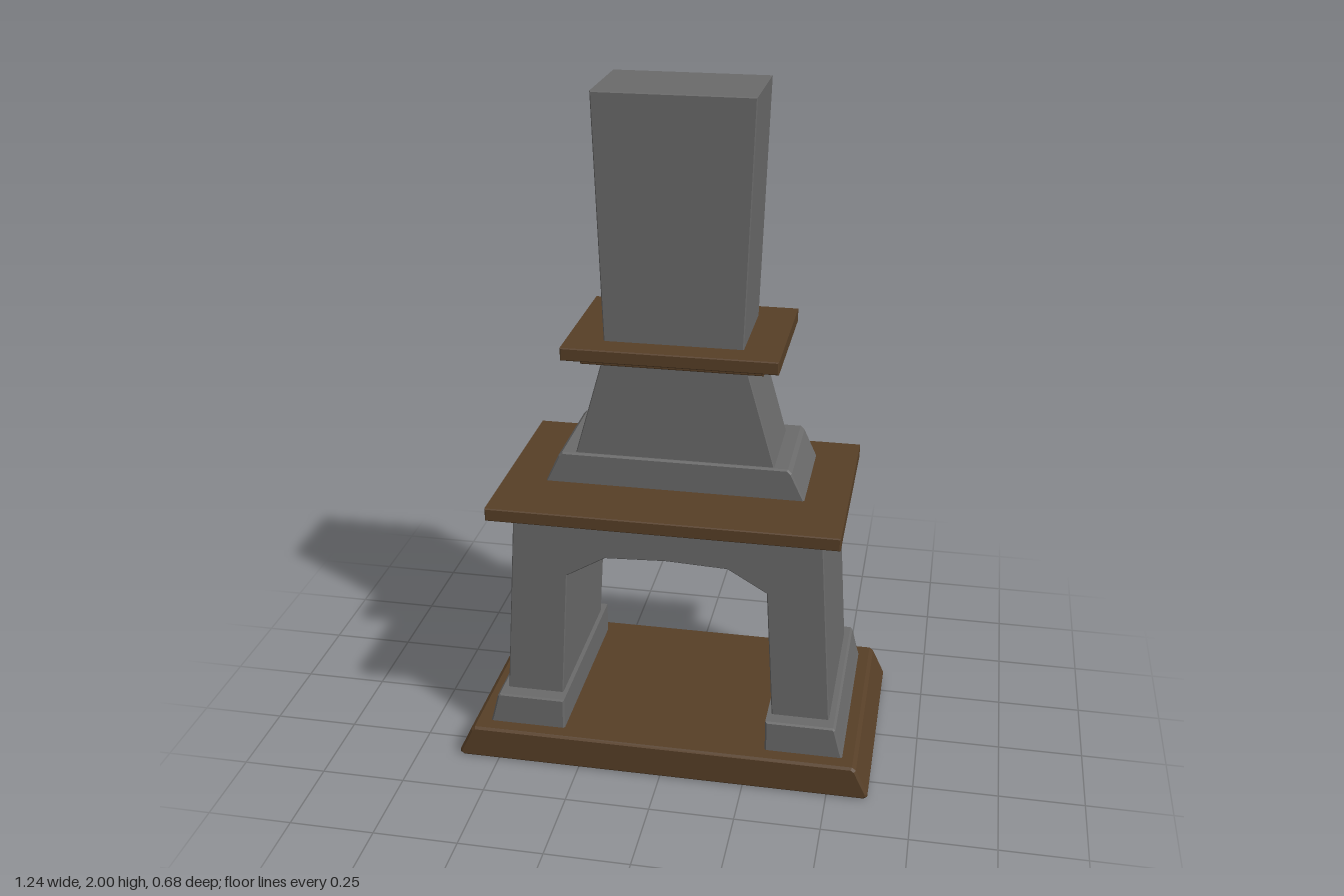
import * as THREE from 'three';

const stone = new THREE.MeshStandardMaterial({ color: 0x6a6a6a, flatShading: true });
const wood = new THREE.MeshStandardMaterial({ color: 0x573f27, flatShading: true });

// Extrude a front outline from zBack to zFront, with a small chamfer on its edges.
function slab(name, points, zBack, zFront, material, bevel = 0.005) {
  const shape = new THREE.Shape(points.map(([x, y]) => new THREE.Vector2(x, y)));
  const geometry = new THREE.ExtrudeGeometry(shape, {
    depth: zFront - zBack - 2 * bevel,
    bevelEnabled: true,
    bevelThickness: bevel,
    bevelSize: bevel,
    bevelOffset: -bevel,
    bevelSegments: 1,
  });
  geometry.translate(0, 0, zBack + bevel);
  const mesh = new THREE.Mesh(geometry, material);
  mesh.name = name;
  return mesh;
}

// Complete a right-hand half outline with its mirror image.
const mirrored = (half) => [...half, ...half.map(([x, y]) => [-x, y]).reverse()];

// Symmetric tapered block given by half widths at its bottom and top.
const taper = (w0, y0, w1, y1) => mirrored([[w0, y0], [w1, y1]]);

export function createModel() {
  const group = new THREE.Group();
  group.name = 'fireplace';

  // Hearth plinth with sloping ends and softened corners
  group.add(slab('hearth', mirrored([[0.61, 0], [0.621, 0.008], [0.621, 0.018], [0.584, 0.096], [0.572, 0.105]]),
    -0.343, 0.342, wood, 0.007));

  // Legs and feet sit a touch to the left of centre
  const body = new THREE.Group();
  body.name = 'body';
  body.position.x = 0.004;
  group.add(body);

  // Feet under the two legs
  for (const side of [1, -1]) {
    const foot = [[0.305, 0.1], [0.537, 0.1], [0.53, 0.125], [0.512, 0.196], [0.505, 0.203], [0.305, 0.203]]
      .map(([x, y]) => [side * x, y]);
    if (side < 0) foot.reverse();
    body.add(slab(side > 0 ? 'leftFoot' : 'rightFoot', foot, -0.295, 0.295, stone));
  }

  // Firebox: legs joined by an arched opening
  const outer = [[0.492, 0.15], [0.451, 0.785]];
  const opening = [[-0.321, 0.15], [-0.295, 0.608], [-0.18, 0.676], [0, 0.684],
    [0.18, 0.676], [0.295, 0.608], [0.321, 0.15]];
  body.add(slab('firebox', [...outer, [-0.451, 0.785], [-0.492, 0.15], ...opening], -0.25, 0.25, stone, 0.003));

  // Mantel shelf and its moulding
  group.add(slab('mantelMoulding', taper(0.475, 0.78, 0.475, 0.81), -0.275, 0.275, wood, 0.003));
  group.add(slab('mantelShelf', taper(0.509, 0.803, 0.509, 0.842), -0.322, 0.321, wood, 0.003));

  // Hood with a stepped foot
  group.add(slab('hoodBase', mirrored([[0.385, 0.838], [0.345, 0.925], [0.333, 0.937]]), -0.22, 0.107, stone));
  group.add(slab('hood', taper(0.296, 0.925, 0.207, 1.24), -0.175, 0.097, stone, 0.003));

  // Upper shelf and its moulding
  group.add(slab('upperMoulding', taper(0.262, 1.235, 0.262, 1.265), -0.225, 0.145, wood, 0.003));
  group.add(slab('upperShelf', taper(0.309, 1.257, 0.309, 1.295), -0.268, 0.185, wood, 0.003));

  // Chimney, widening upward
  group.add(slab('chimney', taper(0.2, 1.285, 0.226, 2), -0.188, 0.107, stone, 0.003));

  return group;
}
